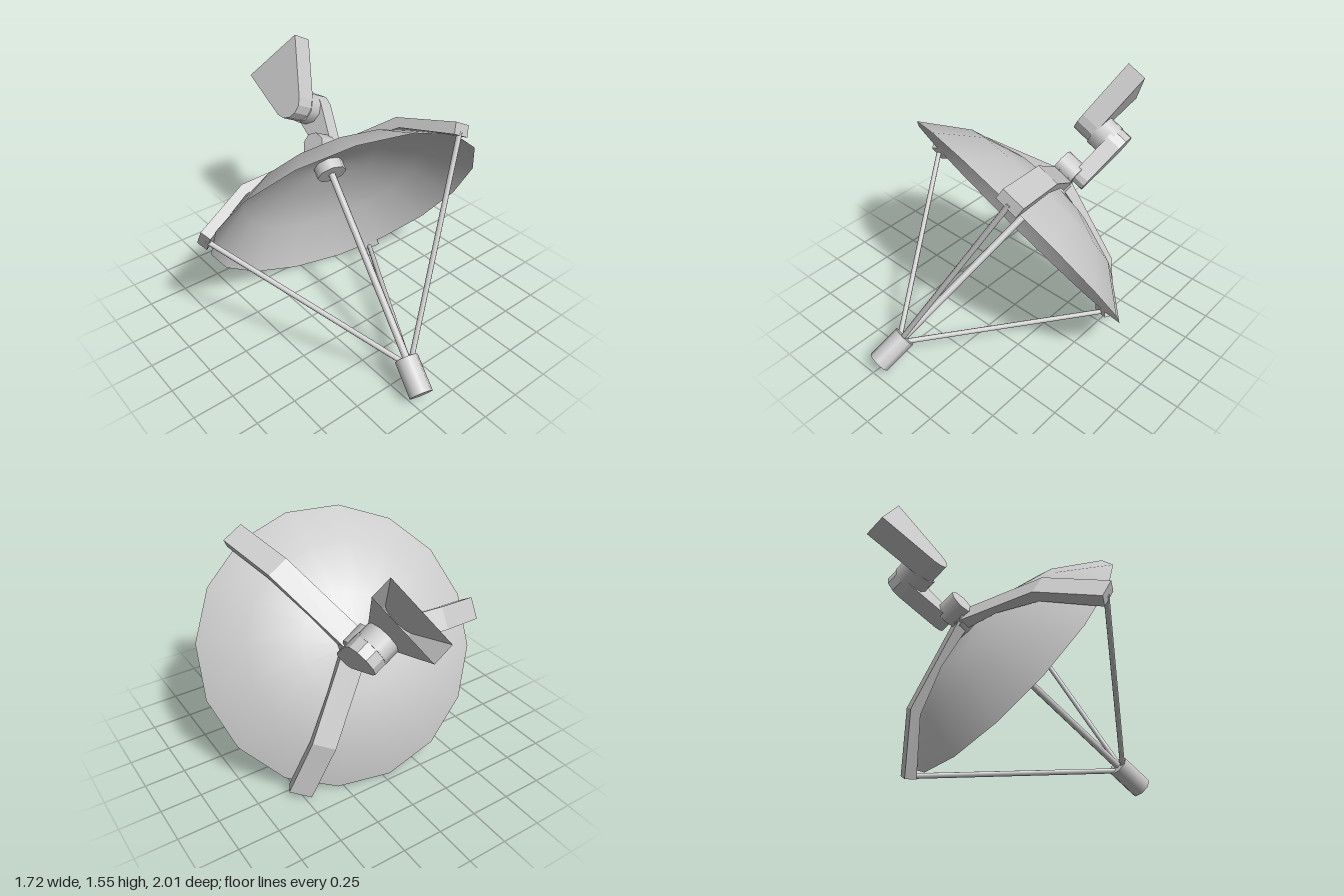
import * as THREE from 'three';
import { mergeGeometries } from 'three/addons/utils/BufferGeometryUtils.js';

const smooth = new THREE.MeshStandardMaterial({ color: 0xcccccc, side: THREE.DoubleSide });
const flat = new THREE.MeshStandardMaterial({ color: 0xcccccc, side: THREE.DoubleSide, flatShading: true });

// Working frame: x and y lie in the rim plane, z points at the feed; h is the height behind the rim (-z).
const at = (r, h, across = 0) => new THREE.Vector3(r, across, -h);

function add(parent, name, geometry, material = smooth) {
  const mesh = new THREE.Mesh(geometry, material);
  mesh.name = name;
  parent.add(mesh);
  return mesh;
}

// Cylinder between two points
function rod(parent, name, a, b, radius, sides = 8) {
  const mesh = add(parent, name, new THREE.CylinderGeometry(radius, radius, a.distanceTo(b), sides));
  mesh.position.copy(a).add(b).multiplyScalar(0.5);
  mesh.quaternion.setFromUnitVectors(new THREE.Vector3(0, 1, 0), b.clone().sub(a).normalize());
}

// Side profile given as [r, h], extruded across from y0 to y1
function plate(parent, name, profile, y0, y1) {
  const shape = new THREE.Shape(profile.map(p => new THREE.Vector2(...p)));
  const geo = new THREE.ExtrudeGeometry(shape, { depth: y1 - y0, bevelEnabled: false });
  geo.translate(0, 0, y0).rotateX(-Math.PI / 2);
  add(parent, name, geo, flat);
}

// Points of an arc in the [r, h] plane, angles in degrees
function arc(h, radius, from, to, steps) {
  return Array.from({ length: steps + 1 }, (_, i) => {
    const a = THREE.MathUtils.degToRad(from + (to - from) * i / steps);
    return [radius * Math.cos(a), h + radius * Math.sin(a)];
  });
}

// Hollow foot: two side walls and a wrapped strip, open at the wide end
function footGeometry(profile, y0, y1) {
  const shape = new THREE.Shape(profile.map(p => new THREE.Vector2(...p)));
  const walls = [y0, y1].map(y => new THREE.ShapeGeometry(shape).translate(0, 0, y).rotateX(-Math.PI / 2));
  const strip = new THREE.PlaneGeometry(1, 1, profile.length - 1, 1);
  const pos = strip.attributes.position;
  for (let i = 0; i < pos.count; i++) {
    const [r, h] = profile[i % profile.length];
    pos.setXYZ(i, r, i < profile.length ? y0 : y1, -h);
  }
  strip.computeVertexNormals();
  return mergeGeometries([...walls, strip]);
}

export function createModel() {
  const model = new THREE.Group();
  model.name = 'dishAntenna';

  // Tilted frame
  const n = new THREE.Vector3(-0.21, -0.533, 0.82).normalize();
  const e2 = n.clone().cross(new THREE.Vector3(0.439, 0.692, 0.558)).normalize();
  const e1 = e2.clone().cross(n);
  const frame = new THREE.Group();
  frame.name = 'tiltedAntenna';
  frame.quaternion.setFromRotationMatrix(new THREE.Matrix4().makeBasis(e1, e2, n));
  frame.position.set(0.024, 0.708, 0.008);
  model.add(frame);

  // Reflector: shallow bowl in three rings
  const bowl = [[0.85, 0], [0.59, 0.195], [0.3, 0.29], [0, 0.33]].map(p => new THREE.Vector2(...p));
  add(frame, 'reflector', new THREE.LatheGeometry(bowl, 16).rotateX(-Math.PI / 2));

  // Three bent ribs behind the reflector, each with a strut to the feed
  const rib = [[0, 0.338], [0.3, 0.298], [0.59, 0.203], [0.875, -0.025],
    [0.915, 0.03], [0.6, 0.268], [0, 0.41]];
  for (let i = 0; i < 3; i++) {
    const arm = new THREE.Group();
    arm.name = 'supportArm';
    arm.rotation.z = i * Math.PI * 2 / 3;
    plate(arm, 'rib', rib, -0.07, 0.07);
    rod(arm, 'strut', at(0.88, 0), at(0.03, -0.97), 0.016);
    frame.add(arm);
  }

  // Feed, its central mast and the mast socket
  rod(frame, 'feedHorn', at(0, -0.955), at(0, -1.17), 0.07);
  rod(frame, 'centralMast', at(0, 0.3), at(0, -0.97), 0.022);
  rod(frame, 'mastSocket', at(0, 0.25), at(0, 0.38), 0.095);

  // Pivot behind the hub, tapered link and its upper joint
  rod(frame, 'pivot', at(0, 0.455, -0.06), at(0, 0.455, 0.075), 0.08);
  plate(frame, 'link', [...arc(0.75, 0.105, -9, 189, 6), ...arc(0.475, 0.06, 189, 351, 5)], -0.135, -0.035);
  rod(frame, 'upperJoint', at(0, 0.755, -0.06), at(0, 0.755, 0.045), 0.105, 10);

  // Flared hollow mounting foot
  const foot = [[-0.19, 1.105], ...arc(0.765, 0.105, 198, 342, 5), [0.245, 1.105]];
  add(frame, 'mountingFoot', footGeometry(foot, 0.035, 0.165), flat);

  return model;
}
